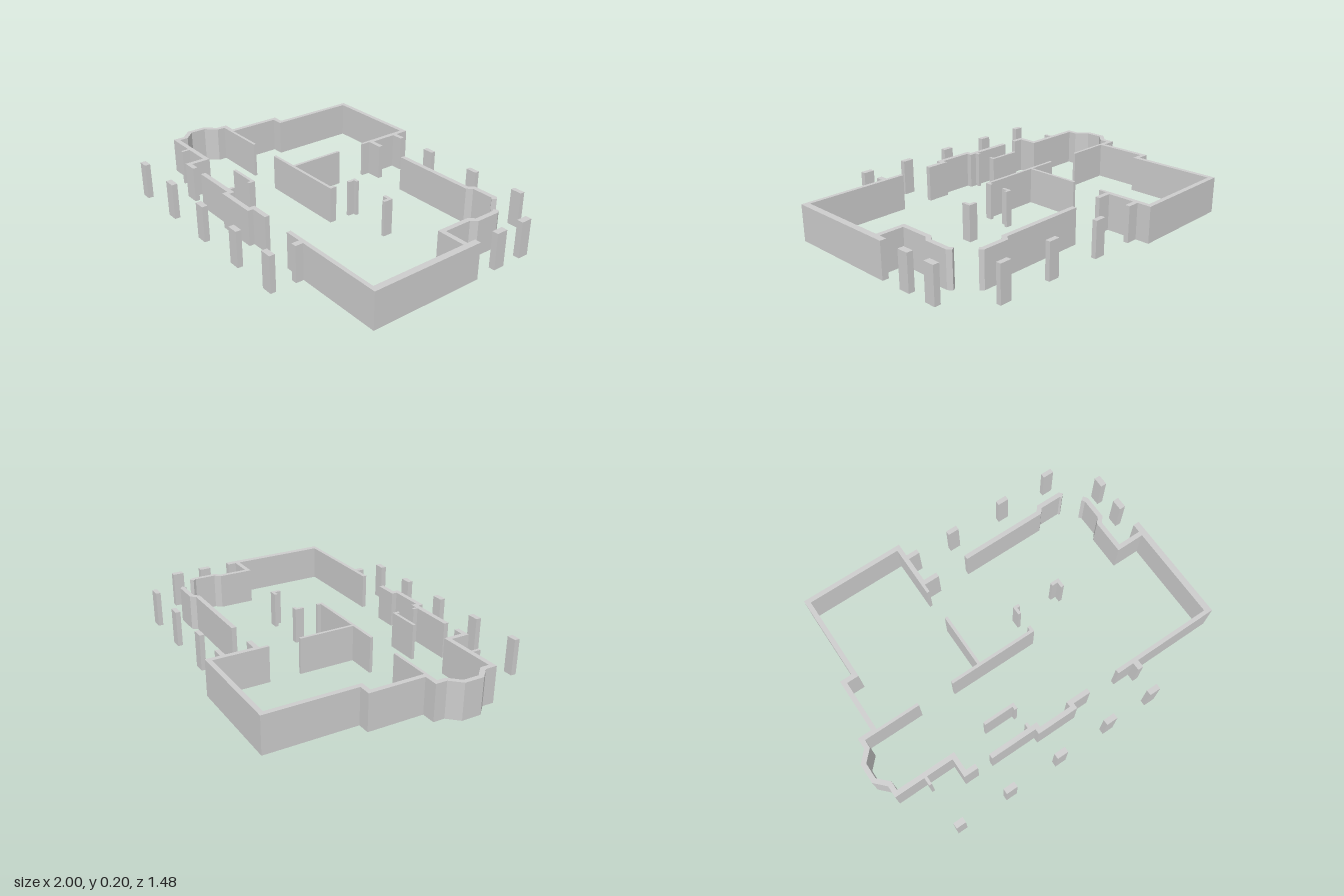
import * as THREE from 'three';

const H = 0.202;
const material = new THREE.MeshStandardMaterial({ color: 0xcccccc, flatShading: true });

// Wall of even thickness along a floor-plan path of [x, z] points, with mitred corners
function wall(name, path, thick) {
  const pts = path.map(([x, z]) => new THREE.Vector2(x, -z));
  const normals = pts.slice(1).map((p, i) => {
    const d = p.clone().sub(pts[i]).normalize();
    return new THREE.Vector2(-d.y, d.x);
  });
  const side = (s) => pts.map((p, i) => {
    const a = normals[Math.max(i - 1, 0)];
    const b = normals[Math.min(i, normals.length - 1)];
    const m = a.clone().add(b).normalize();
    return p.clone().addScaledVector(m, (s * thick) / 2 / m.dot(a));
  });
  const shape = new THREE.Shape([...side(1), ...side(-1).reverse()]);
  const geo = new THREE.ExtrudeGeometry(shape, { depth: H, bevelEnabled: false });
  geo.rotateX(-Math.PI / 2);
  const mesh = new THREE.Mesh(geo, material);
  mesh.name = name;
  return mesh;
}

// Full-height block between two plan corners
function block(name, x0, x1, z0, z1) {
  const mesh = new THREE.Mesh(new THREE.BoxGeometry(x1 - x0, H, z1 - z0), material);
  mesh.position.set((x0 + x1) / 2, H / 2, (z0 + z1) / 2);
  mesh.name = name;
  return mesh;
}

export function createModel() {
  const model = new THREE.Group();
  model.name = 'floorPlanWalls';
  const T = 0.027; // outer wall thickness
  const t = 0.017; // partition thickness

  // Outer walls
  model.add(
    wall('rightOuterWall', [
      [-0.11, -0.466], [-0.203, -0.466], [-0.203, -0.726], [-0.781, -0.726],
      [-0.781, -0.223], [-0.85, -0.223], [-0.85, 0.09], [-0.929, 0.09],
      [-0.929, 0.146], [-0.986, 0.205], [-0.986, 0.305], [-0.928, 0.365],
      [-0.928, 0.424], [-0.588, 0.424], [-0.588, 0.534], [-0.519, 0.534],
    ], T),
    wall('frontBayWall', [
      [-0.433, 0.534], [-0.152, 0.534], [-0.152, 0.564],
      [0.064, 0.564], [0.064, 0.534], [0.182, 0.534],
    ], T),
    wall('backWall', [
      [0.075, -0.465], [0.57, -0.465], [0.595, -0.493], [0.732, -0.493], [0.745, -0.479],
    ], T),
    wall('leftNookWall', [
      [0.964, -0.036], [0.813, -0.036], [0.813, -0.218],
      [0.841, -0.249], [0.841, -0.378], [0.827, -0.4],
    ], T),
    block('leftWall', 0.964, 1.0, -0.1, 0.548),
    block('frontLeftWall', 0.367, 0.964, 0.525, 0.548),
    block('frontLeftButtress', 0.465, 0.497, 0.548, 0.592),
    block('frontRightStub', -0.77, -0.754, 0.437, 0.483),
  );

  // Interior partitions
  model.add(
    block('backPartition', -0.2165, -0.2, -0.453, -0.405),
    block('middlePartition', -0.2165, -0.2, -0.228, 0.088),
    wall('longPartition', [[-0.382, 0.096], [0.13, 0.096], [0.13, 0.066]], t),
    block('sidePartition', -0.837, -0.59, 0.088, 0.104),
    wall('frontPartition', [[-0.366, 0.375], [-0.187, 0.375], [-0.187, 0.403]], t),
    block('frontPartitionStub', -0.195, -0.179, 0.494, 0.521),
    wall('innerCornerRight', [[0.158, -0.064], [0.131, -0.064], [0.131, -0.02]], t),
    wall('innerCornerLeft', [[0.372, -0.064], [0.415, -0.064], [0.415, -0.02]], 0.019),
  );

  // Free-standing porch pillars
  const pillars = new THREE.Group();
  pillars.name = 'pillars';
  for (const [x0, x1] of [[-0.19, -0.123], [0.073, 0.138], [0.41, 0.475], [0.725, 0.79]])
    pillars.add(block('backPillar', x0, x1, -0.66, -0.633));
  for (const [x0, x1] of [[-0.772, -0.717], [-0.473, -0.408], [-0.16, -0.095], [0.152, 0.217], [0.433, 0.497]])
    pillars.add(block('frontPillar', x0, x1, 0.706, 0.737));
  for (const [z0, z1] of [[-0.463, -0.4], [-0.287, -0.222]])
    pillars.add(block('leftPillar', 0.962, 0.997, z0, z1));
  model.add(pillars);

  return model;
}
